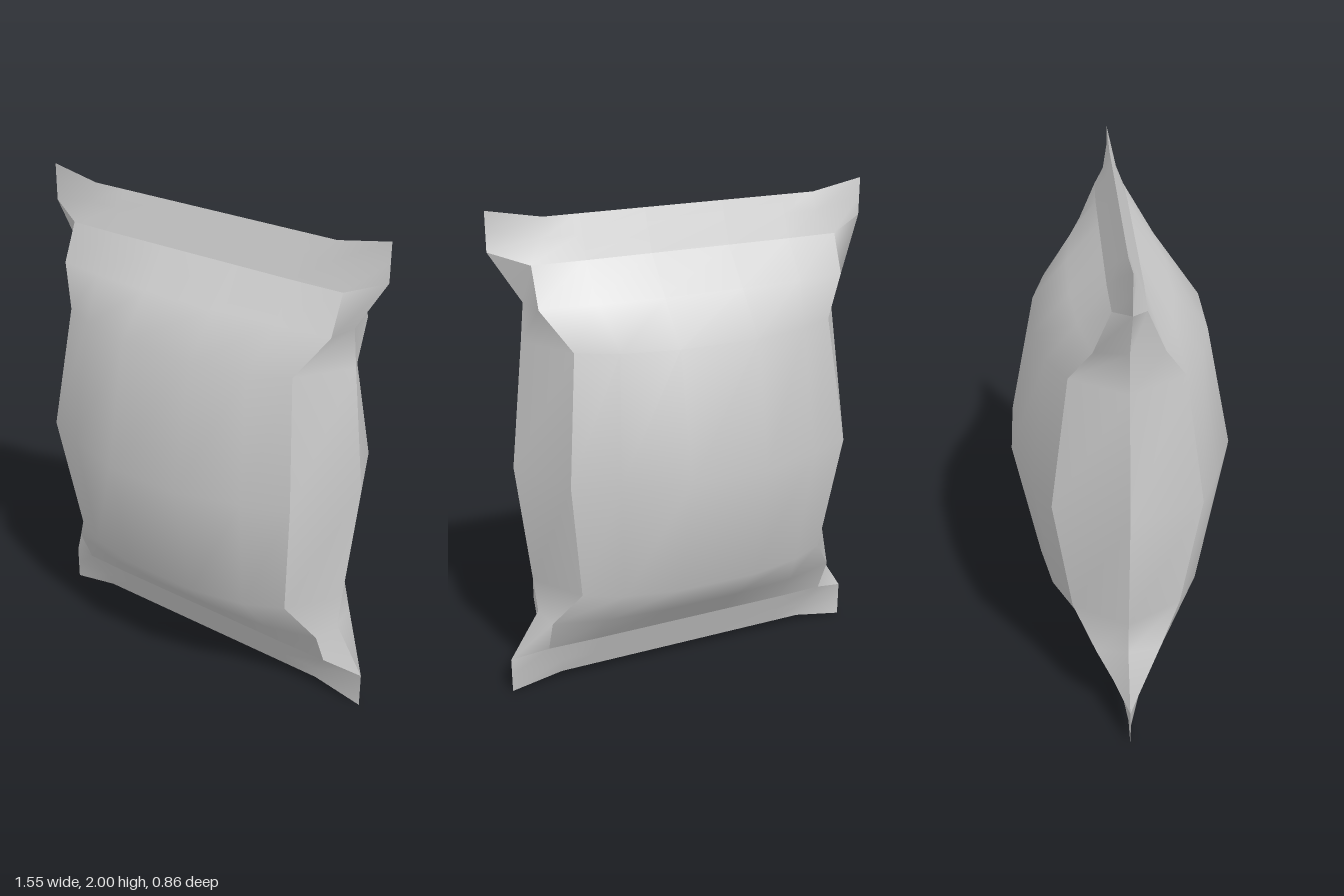
import * as THREE from 'three';

const material = new THREE.MeshStandardMaterial({ color: 0xcccccc, side: THREE.DoubleSide });

// Smooth sheet through a grid of points: rows run upwards, columns run left to right
function sheet(name, rows) {
  const n = rows[0].length, index = [];
  for (let r = 0; r < rows.length - 1; r++) {
    for (let c = 0; c < n - 1; c++) {
      const a = r * n + c, b = a + n;
      index.push(a, a + 1, b + 1, a, b + 1, b);
    }
  }
  const geometry = new THREE.BufferGeometry();
  geometry.setAttribute('position', new THREE.Float32BufferAttribute(rows.flat(2), 3));
  geometry.setIndex(index);
  geometry.computeVertexNormals();
  const mesh = new THREE.Mesh(geometry, material);
  mesh.name = name;
  return mesh;
}

const flipX = (row) => row.map(([x, y, z]) => [-x, y, z]).reverse();
const flipY = (rows) => rows.map((row) => row.map(([x, y, z]) => [x, 2 - y, z])).reverse();
const fullWidth = (rows) => rows.map((row) => [...flipX(row), ...row]);
const fullHeight = (rows) => [...flipY(rows).slice(0, -1), ...rows];

// Right-hand half of the puffed face, from mid height up to the seal
const face = [
  [[0.16, 1, 0.43], [0.41, 1, 0.35], [0.585, 1, 0.28]],
  [[0.16, 1.5, 0.33], [0.38, 1.5, 0.285], [0.53, 1.5, 0.21]],
  [[0.16, 1.66, 0.19], [0.42, 1.66, 0.17], [0.63, 1.65, 0.125]],
  [[0.16, 1.8, 0.065], [0.42, 1.8, 0.065], [0.63, 1.8, 0.06]],
];

// Pinched side seam in the plane z = 0, one point for each face row
const seam = [[0.72, 1, 0], [0.665, 1.5, 0], [0.65, 1.65, 0], [0.775, 1.85, 0]];
const side = fullHeight(face.map((row, i) => [row[2], seam[i]]));

// Flat seal strip flaring out at the corners
const seal = fullWidth([
  [...face[3], seam[3]],
  [[0.16, 1.89, 0.028], [0.42, 1.89, 0.028], [0.56, 1.89, 0.028], [0.775, 1.925, 0]],
  [[0.16, 1.96, 0], [0.42, 1.96, 0], [0.56, 1.96, 0], [0.775, 2, 0]],
]);

function createHalf(name) {
  const half = new THREE.Group();
  half.name = name;
  half.add(
    sheet('puffedFace', fullHeight(fullWidth(face))),
    sheet('leftSide', side),
    sheet('rightSide', side.map(flipX)),
    sheet('topSeal', seal),
    sheet('bottomSeal', flipY(seal)),
  );
  return half;
}

export function createModel() {
  const bag = new THREE.Group();
  bag.name = 'snackBag';
  const back = createHalf('backHalf');
  back.rotation.y = Math.PI;
  bag.add(createHalf('frontHalf'), back);
  return bag;
}
